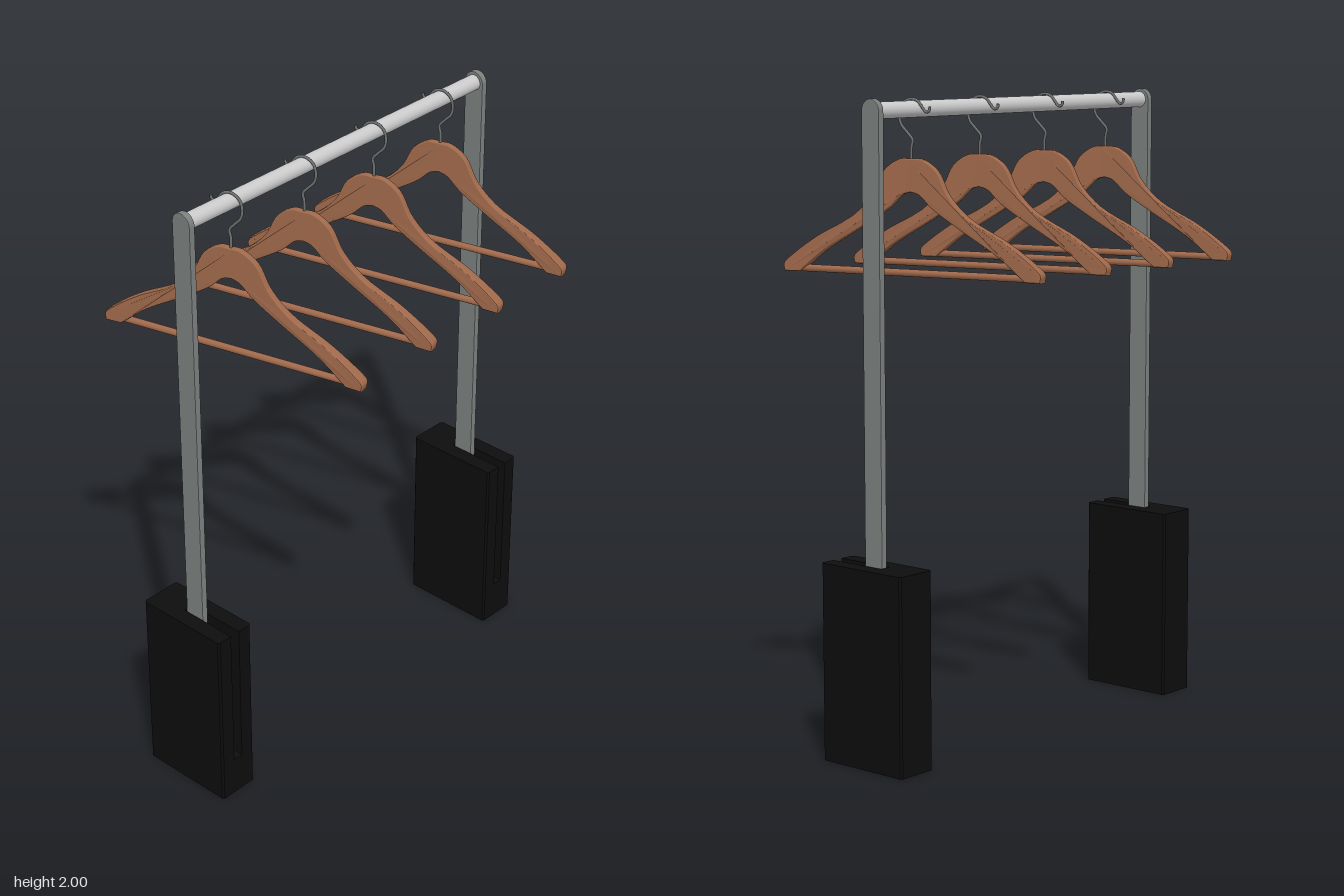
import * as THREE from 'three';

const material = (name, color) => new THREE.MeshStandardMaterial({ name, color });

function addMesh(parent, name, geometry, mat) {
  const mesh = new THREE.Mesh(geometry, mat);
  mesh.name = name;
  parent.add(mesh);
  return mesh;
}

const Z0 = -0.007; // shared depth of rail and posts

// Shape drawn in plan (x, -z), raised from y0 to y1
function raise(points, y0, y1) {
  const shape = new THREE.Shape(points.map(([x, z]) => new THREE.Vector2(x, -z)));
  return new THREE.ExtrudeGeometry(shape, { depth: y1 - y0, bevelEnabled: false })
    .rotateX(-Math.PI / 2).translate(0, y0, 0);
}

// Heavy block with a slot open to the front and top
function makeFoot(mat) {
  const foot = new THREE.Group();
  foot.name = 'foot';
  const w = 0.069, zb = -0.17, zf = 0.155, c = 0.006, s = 0.017, slotBack = -0.044;
  const back = [[w, zf - c], [w, zb + c], [w - c, zb], [-w + c, zb], [-w, zb + c], [-w, zf - c], [-w + c, zf]];
  const slot = [[-s, zf], [-s, slotBack], [s, slotBack], [s, zf]];
  addMesh(foot, 'footBase', raise([...back, [w - c, zf]], 0, 0.13), mat);
  addMesh(foot, 'slottedBlock', raise([...back, ...slot, [w - c, zf]], 0.13, 0.612), mat);
  return foot;
}

// Flat upright with a rounded top
function makePostGeometry() {
  const r = 0.035, b = 0.003, t = 0.022, e = r - b;
  const shape = new THREE.Shape();
  shape.moveTo(-e, 0.24 + b);
  shape.lineTo(e, 0.24 + b);
  shape.lineTo(e, 2 - r);
  shape.absarc(0, 2 - r, e, 0, Math.PI, false);
  shape.closePath();
  return new THREE.ExtrudeGeometry(shape, {
    depth: t - 2 * b, bevelSize: b, bevelThickness: b, bevelSegments: 2, curveSegments: 20,
  }).translate(0, 0, -t / 2 + b).rotateY(-Math.PI / 2).translate(0, 0, Z0);
}

// Contoured wooden shoulders, thicker towards the tips
function makeShoulderGeometry() {
  const upper = [[0, 1.815], [0.035, 1.814], [0.085, 1.782], [0.125, 1.709], [0.19, 1.645],
    [0.32, 1.575], [0.41, 1.513], [0.434, 1.49], [0.432, 1.471]];
  const lower = [[0.385, 1.471], [0.3, 1.538], [0.165, 1.618], [0.075, 1.675], [0.03, 1.715], [0, 1.724]];
  const curve = (pts) => new THREE.CatmullRomCurve3(pts.map(([z, y]) => new THREE.Vector3(z, y, 0)))
    .getPoints(36).map((p) => new THREE.Vector2(p.x, p.y));
  const half = [...curve(upper), ...curve(lower)];
  const mirrored = half.slice(1, -1).reverse().map((p) => new THREE.Vector2(-p.x, p.y));
  const geo = new THREE.ExtrudeGeometry(new THREE.Shape([...half, ...mirrored]), {
    depth: 0.012, bevelSize: 0.004, bevelThickness: 0.005, bevelSegments: 3,
  }).translate(0, 0, -0.006);
  const p = geo.attributes.position;
  for (let i = 0; i < p.count; i++) {
    p.setZ(i, p.getZ(i) * (0.95 + 0.9 * Math.pow(Math.abs(p.getX(i)) / 0.44, 2)));
  }
  geo.computeVertexNormals();
  return geo.rotateY(-Math.PI / 2);
}

// Wire hook that loops over the rail and curls outward at its tip
function makeHookGeometry() {
  const path = [[0, 1.8], [0, 1.85], [-0.004, 1.875], [0.012, 1.895], [0.034, 1.92], [0.04, 1.95],
    [0.03, 1.98], [0.004, 1.995], [-0.022, 1.989], [-0.038, 1.97], [-0.05, 1.957], [-0.061, 1.961], [-0.063, 1.973]];
  const curve = new THREE.CatmullRomCurve3(path.map(([z, y]) => new THREE.Vector3(0, y, z)));
  return new THREE.TubeGeometry(curve, 72, 0.0045, 8, false);
}

export function createModel() {
  const model = new THREE.Group();
  model.name = 'clothesRack';
  const black = material('black', 0x0d0d0d);
  const steel = material('steelGrey', 0x7b807e);
  const chrome = material('lightMetal', 0xcacaca);
  const wood = material('wood', 0xa0694b);
  const wire = material('wire', 0x6c706f);
  wire.side = THREE.DoubleSide;

  // Feet and posts
  const postGeo = makePostGeometry();
  for (const side of [-1, 1]) {
    const x = side * 0.636;
    const foot = makeFoot(black);
    foot.position.x = x;
    model.add(foot);
    addMesh(model, 'post', postGeo, steel).position.x = x;
  }

  // Hanging rail
  const rail = addMesh(model, 'rail', new THREE.CylinderGeometry(0.025, 0.025, 1.262, 32), chrome);
  rail.rotation.z = Math.PI / 2;
  rail.position.set(0, 1.965, Z0);

  // Four hangers, each turned slightly
  const shoulderGeo = makeShoulderGeometry();
  const hookGeo = makeHookGeometry();
  const barGeo = new THREE.CylinderGeometry(0.011, 0.011, 0.8, 16).rotateX(Math.PI / 2);
  for (let i = 0; i < 4; i++) {
    const hanger = new THREE.Group();
    hanger.name = 'hanger';
    addMesh(hanger, 'shoulders', shoulderGeo, wood);
    addMesh(hanger, 'trouserBar', barGeo, wood).position.y = 1.478;
    addMesh(hanger, 'hook', hookGeo, wire);
    hanger.position.set(-0.455 + i * 0.3067, 0, -0.002);
    hanger.rotation.y = 0.242;
    model.add(hanger);
  }
  return model;
}
